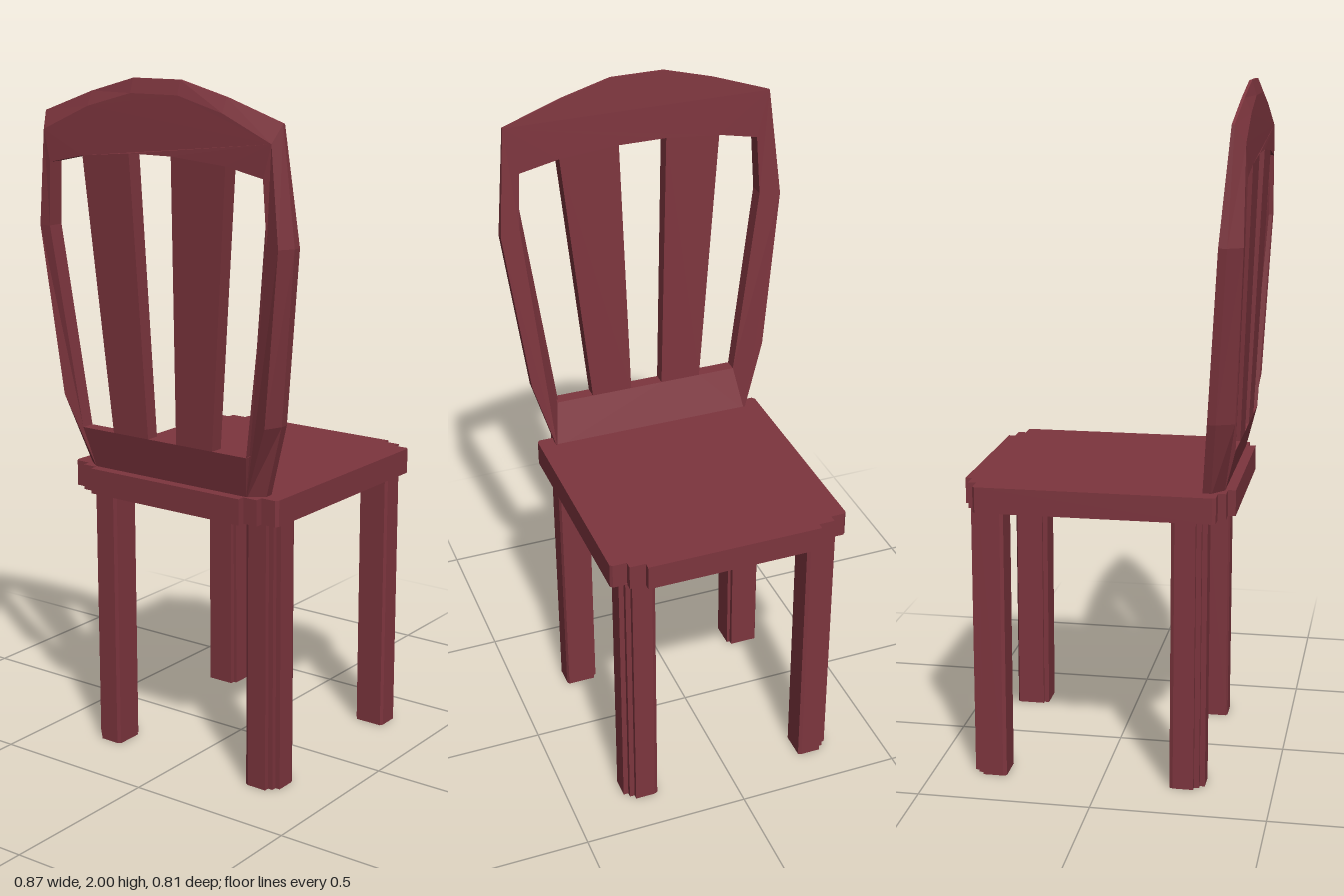
import * as THREE from 'three';

const wood = new THREE.MeshStandardMaterial({ color: 0x7d353e, flatShading: true });
wood.name = 'red brown wood';

// closed shape mirrored from its right half, listed from bottom to top
const mirrored = (half) => new THREE.Shape(
  [...half, ...half.map(([x, y]) => [-x, y]).reverse()].map(([x, y]) => new THREE.Vector2(x, y)));

// flat outline in x and z, raised from y0 to y1
function slab(name, shape, y0, y1) {
  const geo = new THREE.ExtrudeGeometry(shape, { depth: y1 - y0, bevelEnabled: false });
  geo.rotateX(-Math.PI / 2).translate(0, y0, 0);
  const mesh = new THREE.Mesh(geo, wood);
  mesh.name = name;
  return mesh;
}

// piecewise linear lookup in a list of [y, z]
function lookup(table, y) {
  for (let i = 1; i < table.length; i++) {
    const [a, za] = table[i - 1], [b, zb] = table[i];
    if (y <= b + 1e-4) return za + (zb - za) * (y - a) / (b - a);
  }
  return table[table.length - 1][1];
}

function makeBackrest() {
  const outline = [[0.31, 0.87], [0.375, 1.09], [0.435, 1.58], [0.405, 1.9], [0.23, 1.96], [0.08, 2]];
  const shape = mirrored(outline);
  const sideHole = [[0.175, 1], [0.29, 1], [0.375, 1.58], [0.365, 1.76], [0.245, 1.785]];
  const holes = [sideHole, sideHole.map(([x, y]) => [-x, y]).reverse(),
    [[-0.05, 1], [0.05, 1], [0.065, 1.8], [-0.08, 1.8]]];
  for (const h of holes) shape.holes.push(new THREE.Path(h.map(([x, y]) => new THREE.Vector2(x, y))));
  const geo = new THREE.ExtrudeGeometry(shape, { depth: 1, steps: 2, bevelEnabled: false });

  // lean and bevel: the rim and the hole edges follow their own curves
  const rimInner = [[0.87, 0.286], [1.09, 0.305], [1.58, 0.337], [1.9, 0.365], [2, 0.374]];
  const rimOuter = [[0.87, 0.343], [1.09, 0.38], [1.58, 0.402], [1.9, 0.402], [2, 0.395]];
  const holeInner = [[1, 0.335], [1.8, 0.36]];
  const holeOuter = [[1, 0.375], [1.58, 0.402], [1.8, 0.406]];
  const p = geo.attributes.position;
  for (let i = 0; i < p.count; i++) {
    let x = p.getX(i), y = p.getY(i);
    const t = p.getZ(i);
    const onRim = outline.some(([a, b]) => Math.abs(Math.abs(x) - a) + Math.abs(y - b) < 1e-4);
    const z0 = lookup(onRim ? rimInner : holeInner, y);
    const z1 = lookup(onRim ? rimOuter : holeOuter, y);
    let z = z0 + (z1 - z0) * t;
    if (onRim && t > 0.9) {
      if (y > 1.93) y -= 0.04;
      else if (y > 1.8) { y -= 0.05; x *= 0.96; }
      else x *= y < 1 ? 0.86 : 0.945;
    } else if (onRim && t > 0.4) z = z0 + (y > 1.8 ? 0.008 : 0.024);
    p.setXYZ(i, x, y, z);
  }
  geo.computeVertexNormals();
  const mesh = new THREE.Mesh(geo, wood);
  mesh.name = 'backrest';
  return mesh;
}

export function createModel() {
  const chair = new THREE.Group();
  chair.name = 'chair';

  // seat with stepped corners (shape y is -z)
  chair.add(slab('seat', mirrored([
    [0.265, -0.375], [0.265, -0.353], [0.31, -0.353], [0.31, -0.33], [0.355, -0.33], [0.362, -0.32],
    [0.362, 0.355], [0.355, 0.362], [0.313, 0.362], [0.313, 0.385], [0.265, 0.385], [0.265, 0.405],
  ]), 0.805, 0.88));

  // legs with a notched outer corner and trimmed edges
  const section = [[-0.04, -0.05], [0.045, -0.05], [0.05, -0.04], [0.05, 0.02], [0.035, 0.02],
    [0.035, 0.035], [0.02, 0.035], [0.02, 0.05], [-0.04, 0.05], [-0.05, 0.045], [-0.05, -0.035], [-0.04, -0.035]];
  for (const sx of [1, -1]) {
    for (const [sz, cz, name] of [[1, 0.252, 'rear'], [-1, -0.33, 'front']]) {
      const pts = section.map(([x, z]) => new THREE.Vector2(sx * (0.285 + x), -(cz + sz * z)));
      chair.add(slab(name + (sx > 0 ? 'LeftLeg' : 'RightLeg'), new THREE.Shape(pts), 0, 0.81));
    }
  }

  chair.add(makeBackrest());
  return chair;
}
